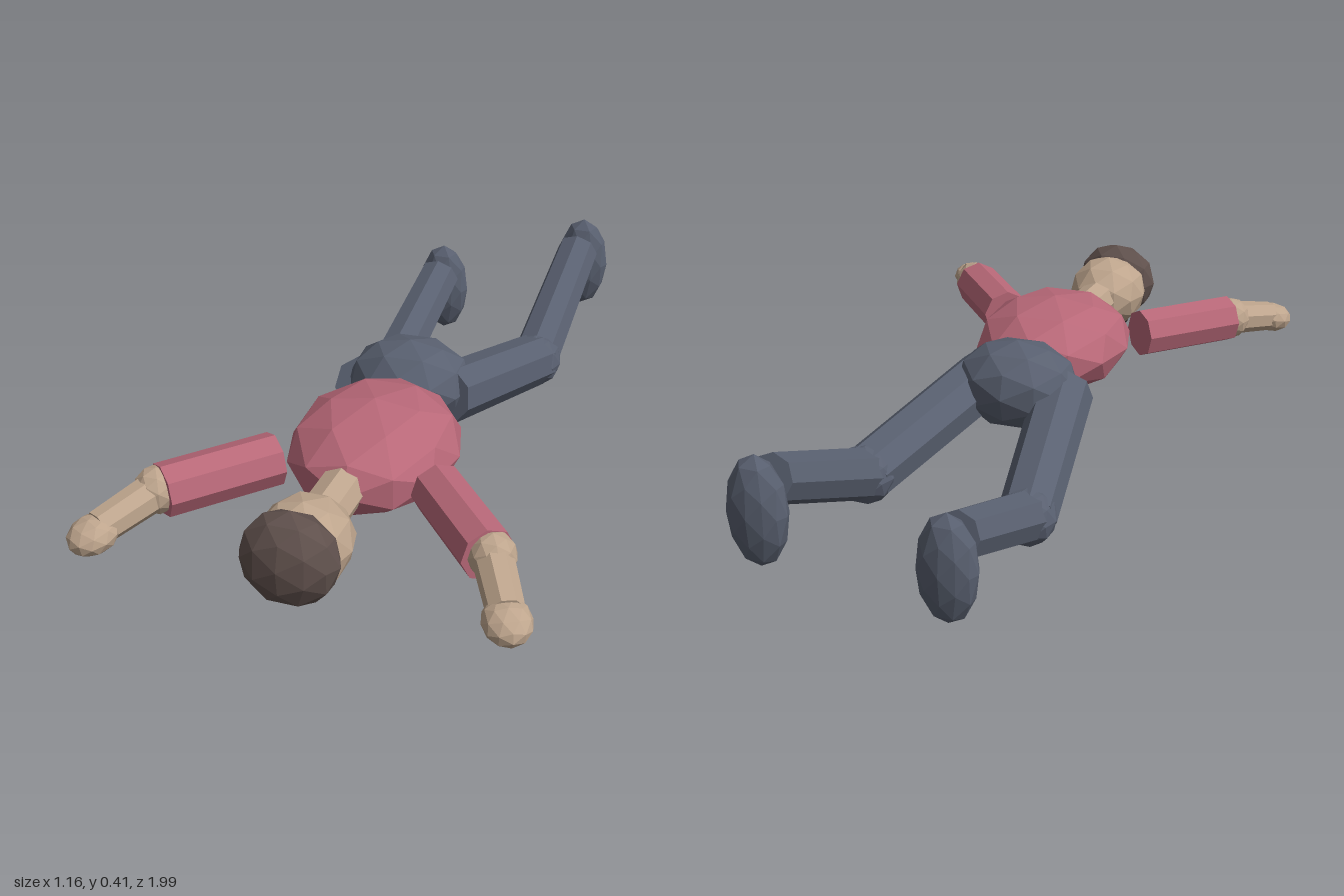
import * as THREE from 'three';

const makeMaterial = (name, color) => {
  const m = new THREE.MeshStandardMaterial({ color });
  m.name = name;
  m.flatShading = true;
  return m;
};

export function createModel() {
  const model = new THREE.Group();
  model.name = 'lyingFigure';
  const shirt = makeMaterial('shirtRose', 0xb86878);
  const trousers = makeMaterial('trouserSlate', 0x596070);
  const skin = makeMaterial('skin', 0xbea58d);
  const hair = makeMaterial('hairBrown', 0x5f504c);
  const eye = makeMaterial('eyeDark', 0x2a2624);

  // Faceted ellipsoid
  const ball = (name, material, center, radii, yaw = 0, pitch = 0) => {
    const mesh = new THREE.Mesh(new THREE.IcosahedronGeometry(1, 1), material);
    mesh.name = name;
    mesh.position.set(...center);
    mesh.scale.set(...radii);
    mesh.rotation.set(pitch, yaw, 0, 'YXZ');
    model.add(mesh);
  };

  // Eight-sided tapered limb between two points
  const limb = (name, material, from, to, r0, r1) => {
    const a = new THREE.Vector3(...from), b = new THREE.Vector3(...to);
    const dir = b.clone().sub(a);
    const mesh = new THREE.Mesh(new THREE.CylinderGeometry(r1, r0, dir.length(), 8), material);
    mesh.name = name;
    mesh.position.copy(a).add(b).multiplyScalar(0.5);
    mesh.quaternion.setFromUnitVectors(new THREE.Vector3(0, 1, 0), dir.normalize());
    model.add(mesh);
  };

  // Trunk
  ball('torso', shirt, [0, 0.27, 0.355], [0.225, 0.137, 0.272], 0.06);
  ball('hips', trousers, [-0.03, 0.27, 0], [0.175, 0.126, 0.142], 0.06);

  // Head, face down
  limb('neck', skin, [0, 0.275, 0.57], [0, 0.275, 0.74], 0.06, 0.06);
  ball('head', skin, [0, 0.272, 0.825], [0.12, 0.112, 0.138]);
  ball('hair', hair, [0, 0.285, 0.912], [0.126, 0.12, 0.083], 0, -0.12);

  // Mirrored arms and eyes
  for (const [side, s] of [['left', 1], ['right', -1]]) {
    const elbow = [s * 0.43, 0.272, 0.735];
    const wrist = [s * 0.51, 0.238, 0.89];
    limb(side + 'UpperArm', shirt, [s * 0.217, 0.27, 0.502], [s * 0.42, 0.27, 0.733], 0.07, 0.07);
    ball(side + 'Elbow', skin, elbow, [0.06, 0.063, 0.06]);
    limb(side + 'Forearm', skin, elbow, wrist, 0.05, 0.045);
    ball(side + 'Hand', skin, [s * 0.517, 0.23, 0.907], [0.06, 0.045, 0.068], s * 0.5, 0.2);
    ball(side + 'Eye', eye, [s * 0.045, 0.174, 0.85], [0.017, 0.015, 0.017]);
  }

  // Legs in different bends
  const legs = [
    { side: 'left', hip: [0.08, 0.26, 0.035], knee: [0.205, 0.147, -0.455],
      ankle: [0.22, 0.325, -0.89], foot: [0.225, 0.265, -0.942] },
    { side: 'right', hip: [-0.155, 0.25, 0.035], knee: [-0.225, 0.083, -0.395],
      ankle: [-0.21, 0.215, -0.79], foot: [-0.21, 0.155, -0.838] },
  ];
  for (const { side, hip, knee, ankle, foot } of legs) {
    limb(side + 'Thigh', trousers, hip, knee, 0.083, 0.078);
    ball(side + 'Knee', trousers, knee, [0.08, 0.08, 0.08]);
    limb(side + 'Shin', trousers, knee, ankle, 0.07, 0.063);
    ball(side + 'Foot', trousers, foot, [0.08, 0.145, 0.055]);
  }
  return model;
}
